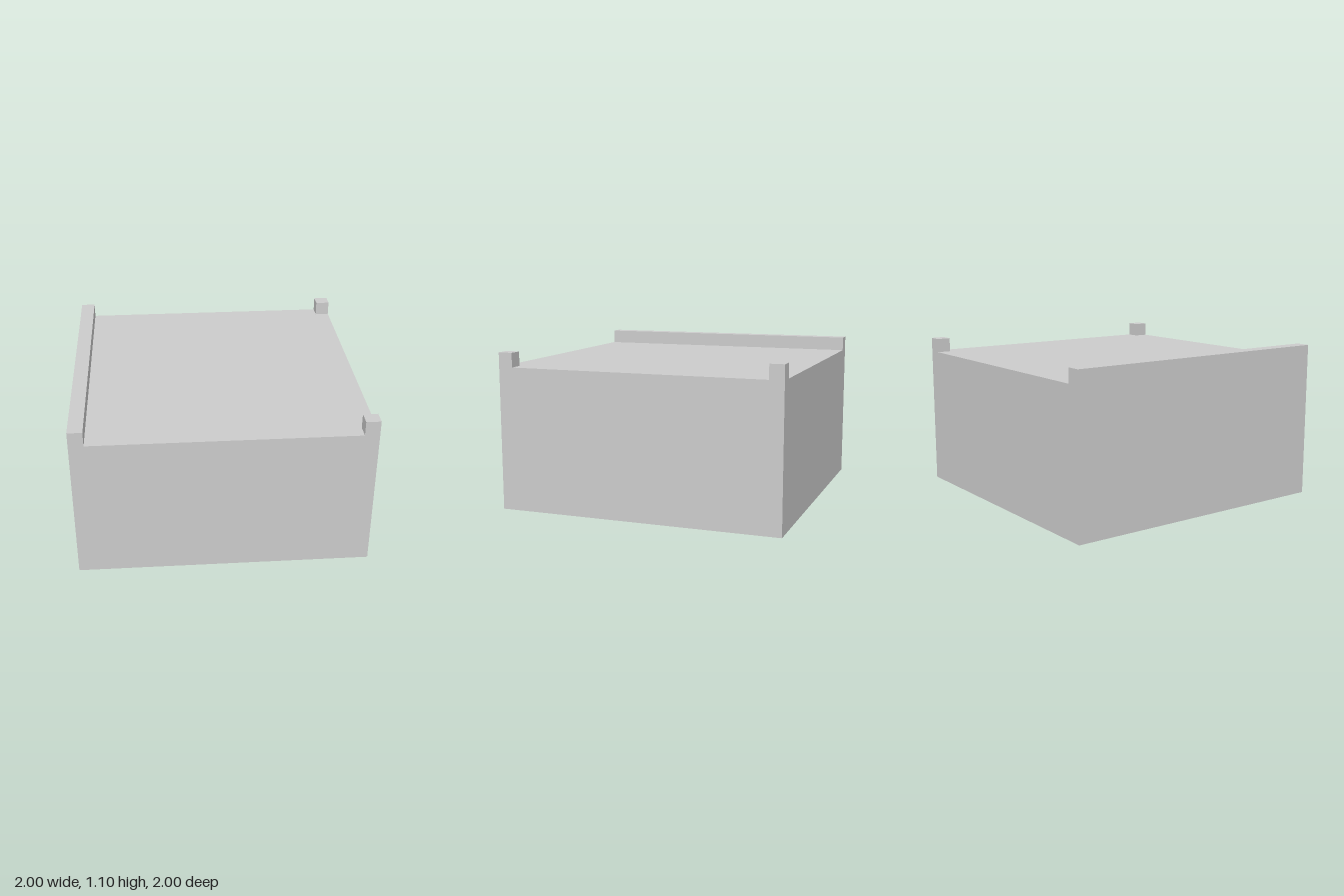
import * as THREE from 'three';

const SIZE = 2;       // footprint
const HEIGHT = 1;     // block height
const TRIM = 0.1;     // thickness of rail and posts

export function createModel() {
  const model = new THREE.Group();
  model.name = 'platform';
  const material = new THREE.MeshStandardMaterial({ color: 0xcccccc, flatShading: true });

  // Adds a box whose underside sits at height y
  const addBox = (name, w, h, d, x, y, z) => {
    const mesh = new THREE.Mesh(new THREE.BoxGeometry(w, h, d), material);
    mesh.name = name;
    mesh.position.set(x, y + h / 2, z);
    model.add(mesh);
  };

  const edge = (SIZE - TRIM) / 2;

  // Solid block
  addBox('block', SIZE, HEIGHT, SIZE, 0, 0, 0);

  // Full-length rail along one side
  addBox('sideRail', TRIM, TRIM, SIZE, -edge, HEIGHT, 0);

  // Corner posts on the opposite side
  for (const [name, side] of [['frontCornerPost', 1], ['backCornerPost', -1]]) {
    addBox(name, TRIM, TRIM, TRIM, edge, HEIGHT, side * edge);
  }

  return model;
}
